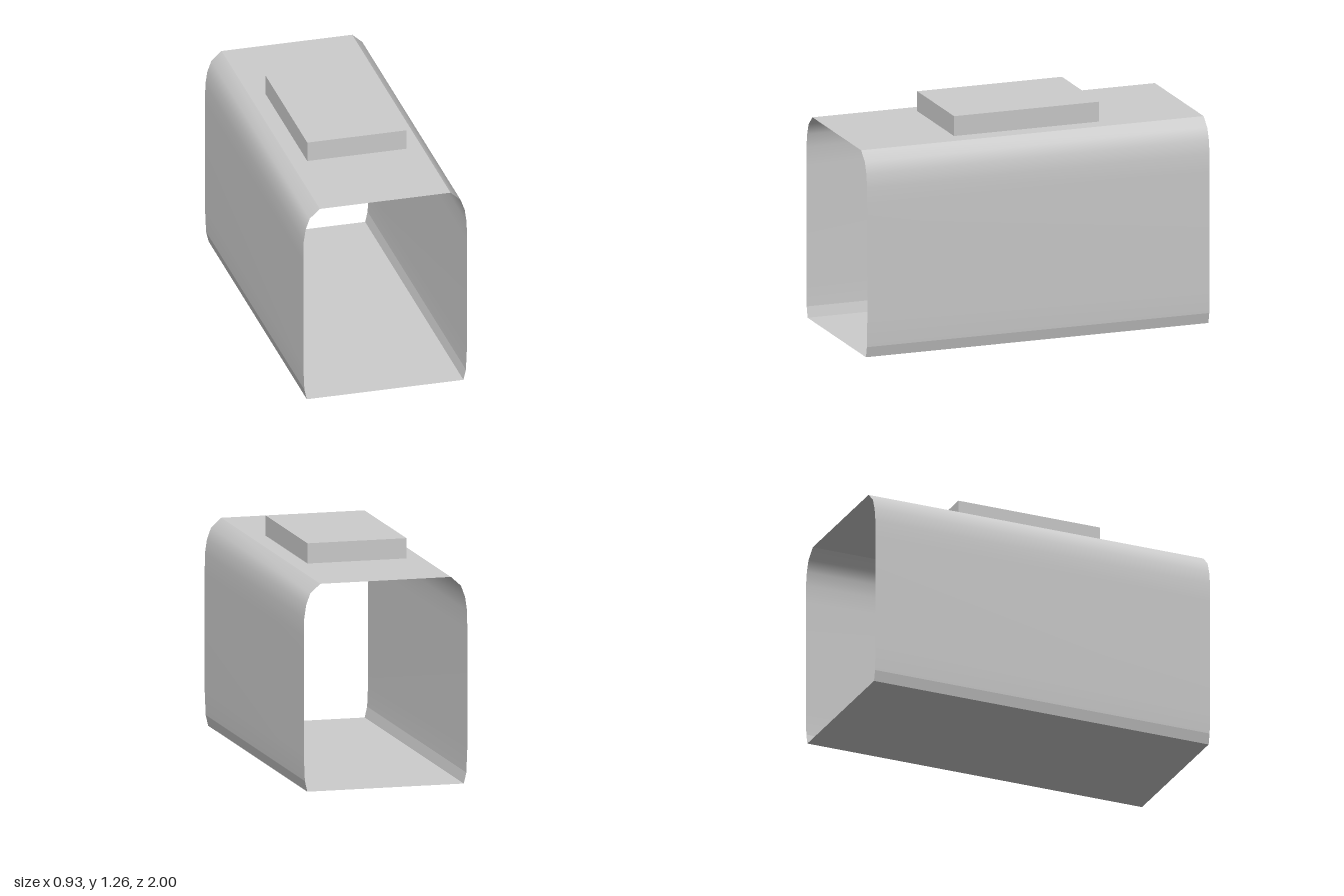
import * as THREE from 'three';

const HALF_LENGTH = 1;

// Sheet swept along z from a counterclockwise run of [x, y] points, smooth within the run
function sheet(points) {
  const positions = [], index = [];
  points.forEach(([x, y], i) => {
    positions.push(x, y, HALF_LENGTH, x, y, -HALF_LENGTH);
    if (i > 0) {
      const a = 2 * i - 2;
      index.push(a, a + 1, a + 2, a + 1, a + 3, a + 2);
    }
  });
  const geometry = new THREE.BufferGeometry();
  geometry.setAttribute('position', new THREE.Float32BufferAttribute(positions, 3));
  geometry.setIndex(index);
  geometry.computeVertexNormals();
  return geometry;
}

const mirrored = (points) => points.map(([x, y]) => [-x, y]).reverse();

export function createModel() {
  const group = new THREE.Group();
  group.name = 'openHousing';
  const grey = new THREE.MeshStandardMaterial({ color: 0xcccccc, side: THREE.DoubleSide });
  grey.name = 'light grey';

  const add = (name, geometry) => {
    const mesh = new THREE.Mesh(geometry, grey);
    mesh.name = name;
    group.add(mesh);
    return mesh;
  };

  // Wall profile: lower bevel, upright side, rounded shoulder
  const bevel = [[0.443, 0], [0.457, 0.06]];
  const wall = [[0.457, 0.06], [0.463, 0.2], [0.463, 0.85], [0.461, 0.96],
    [0.45, 1.035], [0.427, 1.098], [0.37, 1.15]];

  // Shell, open at both ends
  add('leftBevel', sheet(bevel));
  add('leftWall', sheet(wall));
  add('roof', sheet([[0.37, 1.15], [-0.37, 1.15]]));
  add('rightWall', sheet(mirrored(wall)));
  add('rightBevel', sheet(mirrored(bevel)));
  add('floor', sheet([[-0.443, 0], [0.443, 0]]));

  // Raised block on the roof
  add('roofBlock', new THREE.BoxGeometry(0.56, 0.112, 0.845)).position.set(0, 1.208, 0);

  return group;
}
